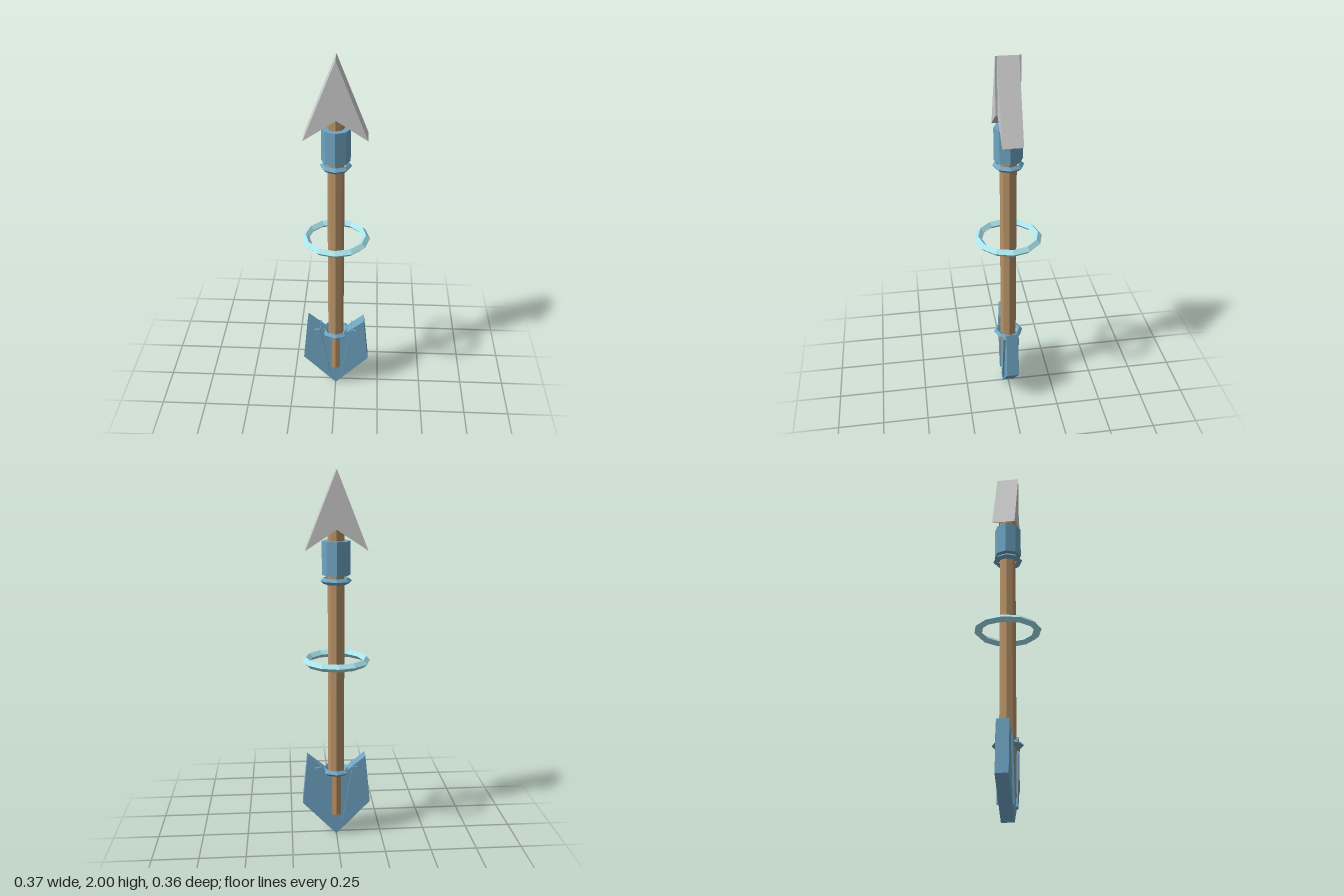
import * as THREE from 'three';

const mat = (color) => new THREE.MeshStandardMaterial({ color, flatShading: true });

export function createModel() {
  const group = new THREE.Group();
  const wood = mat(0xb89268), blue = mat(0x6fa5c3), pale = mat(0xa8e4ec), grey = mat(0xcccccc);

  const add = (name, geometry, material, x = 0, y = 0, z = 0) => {
    const mesh = new THREE.Mesh(geometry, material);
    mesh.name = name;
    mesh.position.set(x, y, z);
    group.add(mesh);
    return mesh;
  };

  // Flat outline extruded evenly about z = 0
  const plate = (points, depth) => {
    const shape = new THREE.Shape(points.map(([x, y]) => new THREE.Vector2(x, y)));
    return new THREE.ExtrudeGeometry(shape, { depth, bevelEnabled: false }).translate(0, 0, -depth / 2);
  };

  // Horizontal ring with a diamond section and a vertex on the z axis
  const ring = (name, radius, tube, sides, material, y) =>
    add(name, new THREE.TorusGeometry(radius, tube, 4, sides).rotateX(Math.PI / 2), material, 0, y);

  // Shaft and collar
  add('shaft', new THREE.CylinderGeometry(0.044, 0.044, 1.59, 8), wood, 0, 0.915);
  add('collar', new THREE.CylinderGeometry(0.074, 0.074, 0.175, 8), blue, 0, 1.5575);

  // Rings along the shaft
  ring('upperBand', 0.066, 0.016, 8, blue, 1.44);
  ring('lowerBand', 0.066, 0.016, 8, blue, 0.378);
  ring('floatingRing', 0.161, 0.021, 12, pale, 1.01);

  // Arrowhead, one half slightly thicker than the other
  add('headRight', plate([[0, 2], [-0.16, 1.6], [0, 1.705]], 0.125), grey);
  add('headLeft', plate([[0, 2], [0, 1.705], [0.16, 1.6]], 0.105), grey);

  // Tail fin
  add('tailFin', plate([
    [0, 0], [0.187, 0.195], [0.16, 0.47], [0, 0.335], [-0.16, 0.47], [-0.187, 0.195],
  ], 0.067), blue);

  // Slanted ribs standing proud of both faces of the fin
  for (const side of [-1, 1]) {
    const rib = add(side < 0 ? 'ribRight' : 'ribLeft',
      new THREE.BoxGeometry(0.032, 0.338, 0.088), blue, side * 0.075, 0.243);
    rib.rotation.z = -side * 0.175;
  }

  return group;
}
